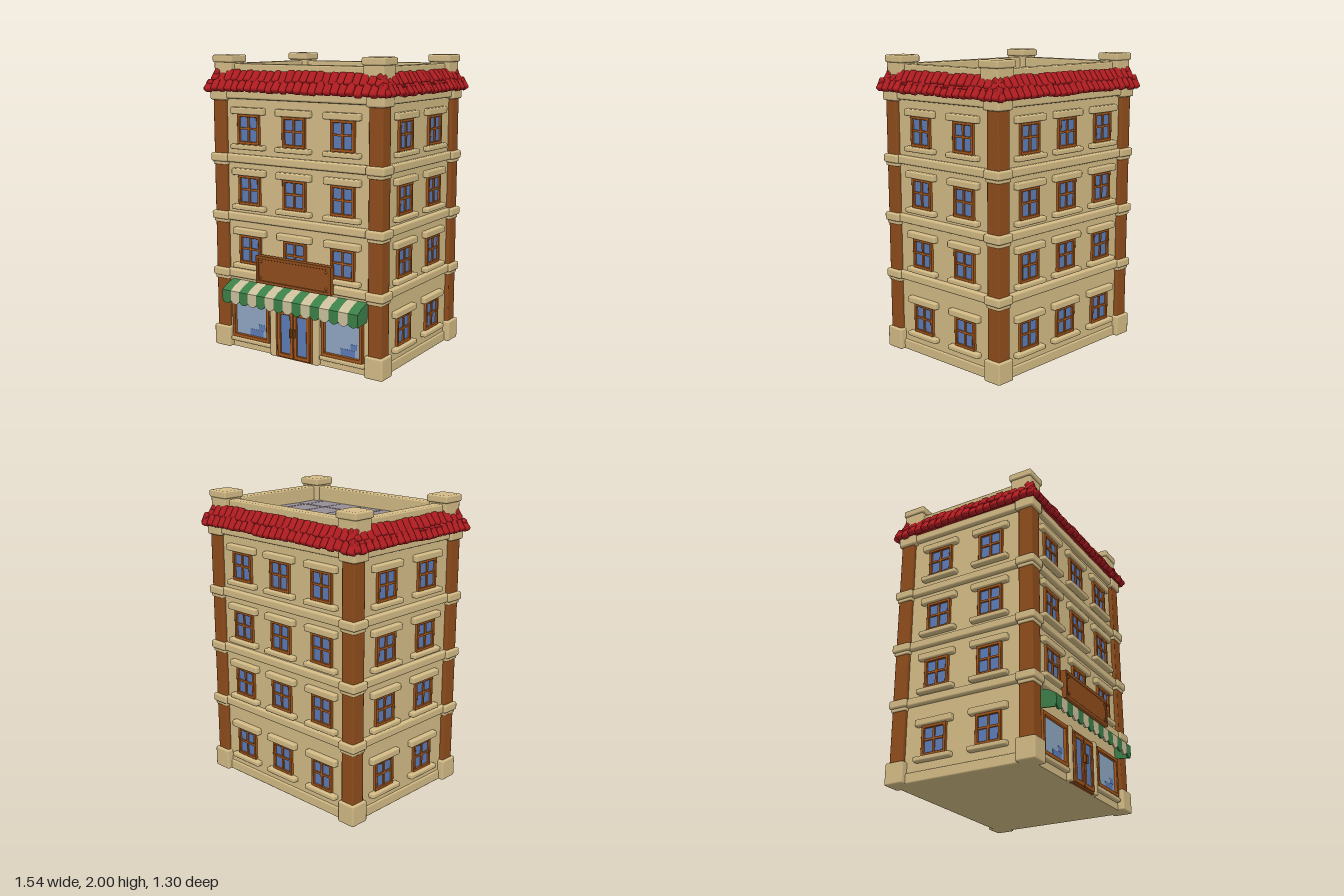
import * as THREE from 'three';
import { RoundedBoxGeometry } from 'three/addons/geometries/RoundedBoxGeometry.js';

const mat = (name, color) => Object.assign(new THREE.MeshStandardMaterial({ color }), { name });
const stone = mat('sandstone', 0xd4bc86);
const wood = mat('brown wood', 0x8f4d1c);
const trim = mat('orange brown trim', 0xa3561c);
const red = mat('red roof tile', 0xb01c20);
const green = mat('awning green', 0x3c7f48);
const cream = mat('awning cream', 0xcbbf9c);
const glass = mat('blue glass', 0x5c7cb8);
const shopGlass = mat('pale shop glass', 0x8fa6c2);
const grey = mat('grey roof slab', 0x958d95);

let seed = 7;
const jitter = (a) => {
  seed = (seed * 16807) % 2147483647;
  return (seed / 2147483647 - 0.5) * 2 * a;
};

function add(parent, name, geo, material, x = 0, y = 0, z = 0) {
  const m = new THREE.Mesh(geo, material);
  m.name = name;
  m.position.set(x, y, z);
  parent.add(m);
  return m;
}
const box = (p, name, m, w, h, d, x, y, z) => add(p, name, new THREE.BoxGeometry(w, h, d), m, x, y, z);
// softened block for the chunky masonry
const block = (p, name, m, w, h, d, x, y, z, r = 0.01) =>
  add(p, name, new RoundedBoxGeometry(w, h, d, 1, Math.min(r, w / 2.1, h / 2.1, d / 2.1)), m, x, y, z);

function group(parent, name) {
  const g = new THREE.Group();
  g.name = name;
  parent.add(g);
  return g;
}

// rectangular frame of four bars
function frame(p, m, w, h, t, d, x, y, z) {
  for (const s of [-1, 1]) {
    block(p, 'frameUpright', m, t, h, d, x + s * (w - t) / 2, y, z, 0.005);
    block(p, 'frameRail', m, w, t, d, x, y + s * (h - t) / 2, z, 0.005);
  }
}

// four-pane window with lintel and sill; z = 0 is the wall surface
function windowUnit(parent, x, y) {
  const g = group(parent, 'window');
  g.position.set(x, y, 0);
  box(g, 'windowGlass', glass, 0.16, 0.18, 0.006, 0, 0, 0.002);
  frame(g, trim, 0.18, 0.2, 0.02, 0.026, 0, 0, 0.006);
  box(g, 'mullion', trim, 0.014, 0.17, 0.016, 0, 0, 0.006);
  box(g, 'transom', trim, 0.15, 0.014, 0.016, 0, 0.005, 0.006);
  block(g, 'lintel', stone, 0.27, 0.046, 0.05, 0, 0.121, 0.01);
  block(g, 'sill', stone, 0.27, 0.034, 0.056, 0, -0.117, 0.013);
}

const W = 0.63, D = 0.485; // wall half width and half depth
const rows = [0.255, 0.705, 1.11, 1.517];
const ledges = [0.53, 0.925, 1.32];
const corners = [[-1, -1], [-1, 1], [1, -1], [1, 1]];

function shopFront(g) {
  // display windows
  for (const x of [-0.375, 0.36]) {
    const s = group(g, 'shopWindow');
    s.position.set(x, 0.212, 0);
    box(s, 'shopGlass', shopGlass, 0.29, 0.24, 0.006, 0, 0, 0.002);
    frame(s, trim, 0.315, 0.27, 0.025, 0.036, 0, 0, 0.008);
    box(s, 'displayStep', glass, 0.11, 0.045, 0.004, 0.04, -0.085, 0.005);
    box(s, 'displayBox', glass, 0.05, 0.035, 0.004, 0.085, -0.04, 0.005);
    block(s, 'shopSill', stone, 0.34, 0.03, 0.04, 0, -0.15, 0.01);
  }
  // double door
  const d = group(g, 'doubleDoor');
  d.position.x = -0.012;
  box(d, 'doorFrame', wood, 0.3, 0.35, 0.03, 0, 0.175, 0.004);
  for (const s of [-1, 1]) {
    frame(d, trim, 0.128, 0.32, 0.026, 0.03, s * 0.066, 0.17, 0.018);
    box(d, 'doorGlass', glass, 0.084, 0.27, 0.006, s * 0.066, 0.175, 0.02);
    block(d, 'doorHandle', wood, 0.012, 0.06, 0.02, s * 0.014, 0.19, 0.042, 0.004);
    block(d, 'doorPost', stone, 0.045, 0.36, 0.05, s * 0.172, 0.18, 0.006);
  }
  // striped awning with scalloped valance
  const a = group(g, 'awning');
  const n = 15, w = 1.08 / n;
  const slope = new THREE.Shape([[0, 0.462], [0.1, 0.418], [0.115, 0.43], [0.07, 0.458], [0, 0.482]].map(([x, y]) => new THREE.Vector2(x, y)));
  const slopeGeo = new THREE.ExtrudeGeometry(slope, { depth: w, bevelEnabled: false, steps: 1 }).rotateY(-Math.PI / 2);
  const flap = new THREE.Shape();
  flap.moveTo(w / 2, 0.43);
  flap.lineTo(-w / 2, 0.43);
  flap.lineTo(-w / 2, 0.362);
  flap.quadraticCurveTo(0, 0.318, w / 2, 0.362);
  const flapGeo = new THREE.ExtrudeGeometry(flap, { depth: 0.012, bevelEnabled: false, curveSegments: 6 });
  for (let i = 0; i < n; i++) {
    const m = i % 2 ? cream : green, x = (i - (n - 1) / 2) * w;
    add(a, 'awningStripe', slopeGeo, m, x + w / 2);
    add(a, 'awningFlap', flapGeo, m, x, 0, 0.103);
  }
  const side = new THREE.Shape([[0, 0.355], [0.11, 0.345], [0.11, 0.43], [0, 0.475]].map(([x, y]) => new THREE.Vector2(x, y)));
  const sideGeo = new THREE.ExtrudeGeometry(side, { depth: 0.008, bevelEnabled: false }).rotateY(-Math.PI / 2);
  for (const x of [-0.532, 0.54]) add(a, 'awningSide', sideGeo, green, x);
  // blank sign board
  const s = group(g, 'signBoard');
  s.position.set(0.006, 0.595, 0.04);
  block(s, 'signPanel', wood, 0.59, 0.18, 0.03, 0, 0, 0);
  frame(s, wood, 0.6, 0.19, 0.022, 0.044, 0, 0, 0);
  for (const [x, y] of corners) {
    add(s, 'signStud', new THREE.SphereGeometry(0.009, 8, 6), trim, x * 0.26, y * 0.055, 0.016);
  }
}

export function createModel() {
  const model = new THREE.Group();
  model.name = 'cornerShopBuilding';
  const b = group(model, 'building');
  b.position.z = -0.018;
  b.rotation.y = 0.115;

  box(b, 'walls', stone, 2 * W, 1.8, 2 * D, 0, 0.9, 0);

  // facades: yaw, wall distance, half length, window columns
  const facades = [
    ['front', 0, D, W, [-0.375, -0.01, 0.36]],
    ['left', Math.PI / 2, W, D, [-0.195, 0.195]],
    ['back', Math.PI, D, W, [-0.36, 0, 0.37]],
    ['right', -Math.PI / 2, W, D, [-0.195, 0.195]],
  ];
  for (const [name, yaw, dist, half, cols] of facades) {
    const turn = group(b, name + 'Facade');
    turn.rotation.y = yaw;
    const g = group(turn, name + 'Surface');
    g.position.z = dist;
    rows.forEach((y, i) => {
      if (name === 'front' && i === 0) return;
      cols.forEach((x) => windowUnit(g, x, y));
    });
    for (const y of ledges) block(g, 'ledge', stone, 2 * half, 0.058, 0.06, 0, y, 0, 0.014);
    block(g, 'cornice', stone, 2 * half, 0.06, 0.06, 0, 1.745, 0, 0.014);
    if (name === 'front') shopFront(g);
    else block(g, 'plinth', stone, 2 * half, 0.07, 0.024, 0, 0.035, 0);

    // two courses of overlapping eave tiles
    for (const [out, y, tilt] of [[0.045, 1.803, 0.95], [0.012, 1.862, 0.95]]) {
      const len = 2 * (half + out + 0.02), n = Math.round(len / 0.056), w = len / n;
      for (let i = 0; i < n; i++) {
        const t = block(g, 'eaveTile', red, w * 0.96, 0.042, 0.09, (i + 0.5) * w - len / 2, y + jitter(0.006), out + jitter(0.004), 0.013);
        t.rotation.set(tilt + jitter(0.1), 0, jitter(0.07));
      }
    }
    // parapet between the corner posts
    const inset = dist === D ? 0.063 : 0.047;
    block(g, 'parapet', stone, 2 * half - 0.13, 0.16, 0.082, 0, 1.863, -inset);
  }

  // red bed under the tiles, as a ring around the roof
  const bed = (w, d) => [[-w, -d], [w, -d], [w, d], [-w, d]].map(([x, y]) => new THREE.Vector2(x, y));
  const ring = new THREE.Shape(bed(0.685, 0.528));
  ring.holes.push(new THREE.Path(bed(0.59, 0.43)));
  add(b, 'eaveBed', new THREE.ExtrudeGeometry(ring, { depth: 0.05, bevelEnabled: false }).rotateX(-Math.PI / 2), red, 0, 1.772, 0);

  // corner pilasters, base blocks, ledge blocks and parapet posts
  for (const [sx, sz] of corners) {
    const c = group(b, 'corner');
    const at = (name, m, size, h, a, d, y, r) => block(c, name, m, size, h, size, sx * (a - size / 2), y, sz * (d - size / 2), r);
    at('pilaster', wood, 0.1, 1.7, 0.658, 0.512, 0.86, 0.008);
    at('baseBlock', stone, 0.135, 0.145, 0.677, 0.53, 0.0725, 0.012);
    for (const y of ledges) {
      at('ledgeBlock', stone, 0.135, 0.058, 0.678, 0.531, y, 0.014);
      at('ledgeNeck', stone, 0.113, 0.03, 0.665, 0.519, y - 0.035, 0.008);
    }
    at('corniceBlock', stone, 0.135, 0.075, 0.675, 0.528, 1.74, 0.014);
    at('parapetPost', stone, 0.145, 0.19, 0.654, 0.5, 1.865, 0.01);
    at('postCap', stone, 0.165, 0.05, 0.664, 0.509, 1.975, 0.012);
  }

  // roof terrace slabs
  box(b, 'roofBed', grey, 1.14, 0.04, 0.82, 0, 1.808, 0);
  const xs = [-0.55, -0.47, -0.285, -0.095, 0.095, 0.285, 0.465, 0.55];
  for (let i = 0; i < xs.length - 1; i++) {
    for (let j = 0; j < 4; j++) {
      const w = xs[i + 1] - xs[i] - 0.006;
      const s = block(b, 'roofSlab', grey, w, 0.02, 0.19, (xs[i] + xs[i + 1]) / 2, 1.833, (j - 1.5) * 0.196, 0.005);
      s.rotation.set(jitter(0.015), 0, jitter(0.015));
    }
  }
  return model;
}
